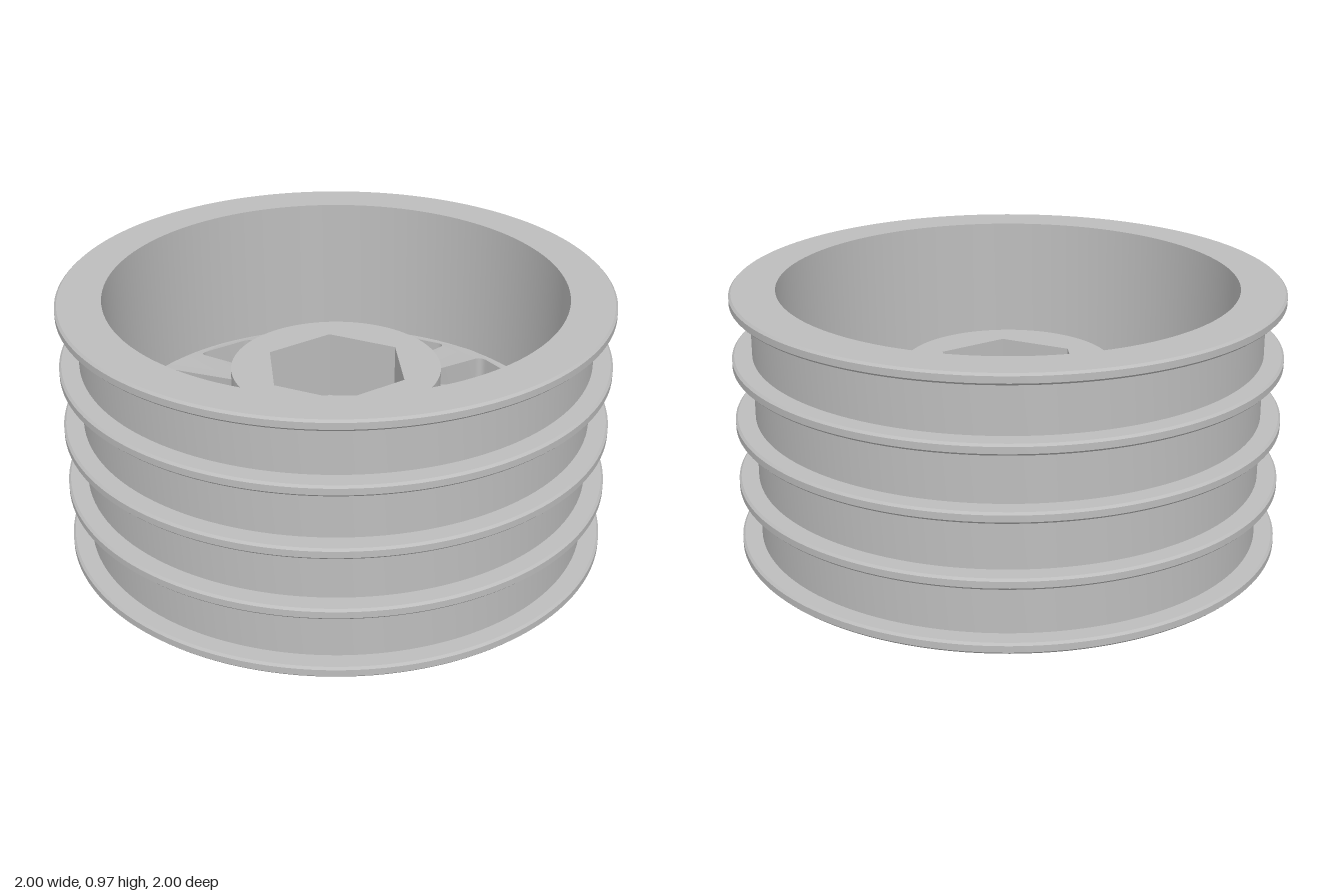
import * as THREE from 'three';
import { toCreasedNormals } from 'three/addons/utils/BufferGeometryUtils.js';

const HEIGHT = 0.97, RIM_INNER = 0.835, BARREL = 0.928, HUB = 0.385, BORE = 0.083;
const SEGMENTS = 128;

// Underside of the conical disc, falling from the bore to the rim
const underside = (r) => 0.17 + 0.146 * (RIM_INNER - r);

const lathe = (pairs) => toCreasedNormals(
  new THREE.LatheGeometry(pairs.map(([r, y]) => new THREE.Vector2(r, y)), SEGMENTS), 0.5);

// Extrude a plan shape upwards
function extrudeUp(shape, depth) {
  const g = new THREE.ExtrudeGeometry(shape, { depth, bevelEnabled: false, curveSegments: 96 });
  return g.rotateX(-Math.PI / 2);
}

const circle = (r) => new THREE.Shape().absarc(0, 0, r, 0, Math.PI * 2, false);

// Rounded polygon path through the given corners
function roundedPath(corners, radius) {
  const path = new THREE.Path();
  const n = corners.length;
  corners.forEach((c, i) => {
    const toward = (o) => c.clone().add(o.clone().sub(c).setLength(radius));
    const a = toward(corners[(i + n - 1) % n]), b = toward(corners[(i + 1) % n]);
    if (i === 0) path.moveTo(a.x, a.y); else path.lineTo(a.x, a.y);
    const mid = c.clone().multiplyScalar(2).add(a).add(b).divideScalar(4);
    const steps = 6;
    for (let k = 1; k <= steps; k++) {
      const t = k / steps, u = 1 - t;
      path.lineTo(u * u * a.x + 2 * u * t * c.x + t * t * b.x, u * u * a.y + 2 * u * t * c.y + t * t * b.y);
    }
  });
  path.closePath();
  return path;
}

// Barrel with five outer flanges
function rimGeometry() {
  const pts = [[RIM_INNER, 0]];
  const thick = 0.04, bevel = 0.008, pitch = (HEIGHT - thick) / 4;
  for (let i = 0; i < 5; i++) {
    const y = i * pitch;
    if (i > 0) pts.push([BARREL, y]);
    pts.push([1 - bevel, y], [1, y + bevel], [1, y + thick - bevel], [1 - bevel, y + thick]);
    if (i < 4) pts.push([BARREL, y + thick]);
  }
  pts.push([RIM_INNER, HEIGHT], [RIM_INNER, 0]);
  return lathe(pts);
}

// Conical disc pierced by twelve tapered windows
function spokeGeometry() {
  const shape = circle(RIM_INNER + 0.01);
  shape.holes.push(circle(HUB - 0.01));
  const r0 = 0.438, r1 = 0.795, half = (r) => r * Math.tan(Math.PI / 18) - 0.02;
  for (let i = 0; i < 12; i++) {
    const angle = Math.PI / 18 + i * Math.PI / 6;
    const corners = [[r0, -half(r0)], [r1, -half(r1)], [r1, half(r1)], [r0, half(r0)]]
      .map(([x, y]) => new THREE.Vector2(x, y).rotateAround(new THREE.Vector2(), angle));
    shape.holes.push(roundedPath(corners, 0.035));
  }
  const g = extrudeUp(shape, 0.25);
  const p = g.attributes.position;
  for (let i = 0; i < p.count; i++) {
    p.setY(i, p.getY(i) + underside(Math.hypot(p.getX(i), p.getZ(i))));
  }
  return toCreasedNormals(g, 0.5);
}

// Upper hub with a hexagonal socket
function socketGeometry(floor, top) {
  const shape = circle(HUB);
  const hex = [];
  for (let i = 0; i < 6; i++) {
    const a = Math.PI * (10.5 / 180 + i / 3);
    hex.push(new THREE.Vector2(0.272 * Math.cos(a), 0.272 * Math.sin(a)));
  }
  shape.holes.push(new THREE.Path(hex));
  return toCreasedNormals(extrudeUp(shape, top - floor).translate(0, floor, 0), 0.5);
}

export function createModel() {
  const model = new THREE.Group();
  model.name = 'wheelRim';
  const grey = new THREE.MeshStandardMaterial({ color: 0xbdbdbd });
  grey.name = 'light grey';

  const add = (name, geometry) => {
    const mesh = new THREE.Mesh(geometry, grey);
    mesh.name = name;
    model.add(mesh);
  };

  const floor = 0.4, top = 0.66;
  add('flangedBarrel', rimGeometry());
  add('spokeDisc', spokeGeometry());
  add('hubSocket', socketGeometry(floor, top));
  // Hub base with the axle bore
  add('hubBase', lathe([
    [BORE, underside(BORE)], [HUB, underside(HUB)], [HUB, floor], [BORE, floor], [BORE, underside(BORE)],
  ]));
  return model;
}
